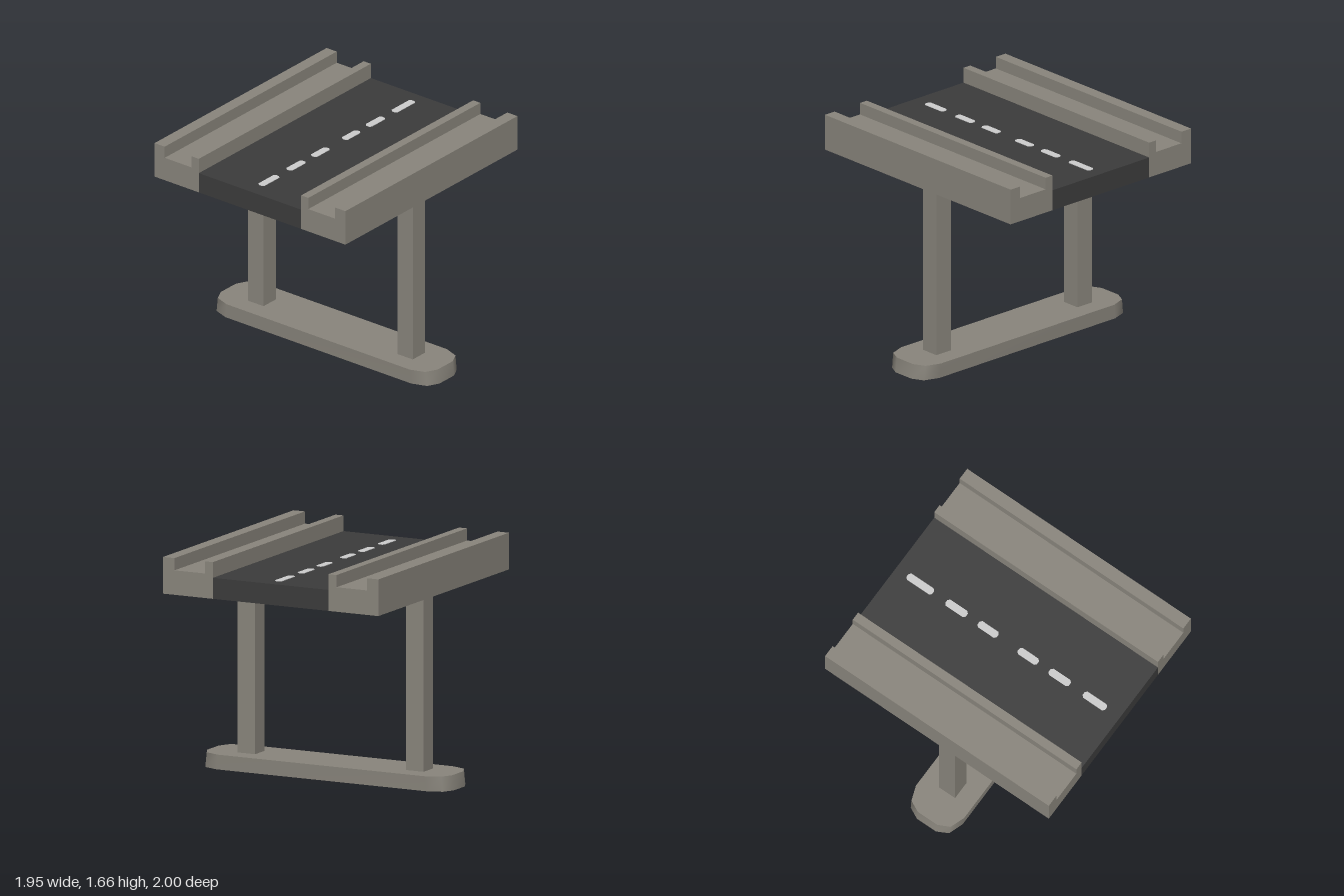
import * as THREE from 'three';

const concrete = new THREE.MeshStandardMaterial({ color: 0x88847b, side: THREE.DoubleSide });
concrete.name = 'concrete';
const asphalt = new THREE.MeshStandardMaterial({ color: 0x3b3b3b });
asphalt.name = 'asphalt';
const paint = new THREE.MeshStandardMaterial({ color: 0xcccccc });
paint.name = 'paleGrey';

const X0 = -0.974, X1 = 0.972, LENGTH = X1 - X0;
const BOTTOM = 1.4, ROAD_TOP = 1.552;

function polygon(points) {
  return new THREE.Shape(points.map(([x, y]) => new THREE.Vector2(x, y)));
}

export function createModel() {
  const model = new THREE.Group();
  const add = (name, geometry, material, x = 0, y = 0, z = 0) => {
    const mesh = new THREE.Mesh(geometry, material);
    mesh.name = name;
    mesh.position.set(x, y, z);
    model.add(mesh);
    return mesh;
  };

  // Road slab between the two walkways
  add('road', new THREE.BoxGeometry(LENGTH, ROAD_TOP - BOTTOM, 0.93), asphalt,
    (X0 + X1) / 2, (BOTTOM + ROAD_TOP) / 2, -0.005);

  // Walkways: a channel profile in z and y, swept along x
  for (const side of [1, -1]) {
    const z = (d) => side * d - 0.005;
    const profile = polygon([
      [z(0.465), BOTTOM], [z(0.867), BOTTOM], [z(0.867), 1.665], [z(0.775), 1.665],
      [z(0.775), 1.577], [z(0.53), 1.577], [z(0.53), 1.665], [z(0.465), 1.665],
    ]);
    const geometry = new THREE.ExtrudeGeometry(profile, { depth: LENGTH, bevelEnabled: false });
    geometry.rotateY(-Math.PI / 2);
    add(side > 0 ? 'frontWalkway' : 'backWalkway', geometry, concrete, X1);
  }

  // Pale underside facing down
  const under = new THREE.PlaneGeometry(LENGTH, 1.734).rotateX(Math.PI / 2);
  add('deckUnderside', under, paint, (X0 + X1) / 2, BOTTOM - 0.002, -0.005);

  // Lane dashes with clipped ends
  const dashes = [[-0.855, -0.66], [-0.54, -0.363], [-0.262, -0.093],
    [0.088, 0.255], [0.357, 0.535], [0.65, 0.873]];
  for (const [a, b] of dashes) {
    const h = 0.028, c = 0.015;
    const shape = polygon([[a + c, -h], [b - c, -h], [b, -h + c], [b, h - c],
      [b - c, h], [a + c, h], [a, h - c], [a, -h + c]]);
    const geometry = new THREE.ExtrudeGeometry(shape, { depth: 0.005, bevelEnabled: false });
    geometry.rotateX(-Math.PI / 2);
    add('laneDash', geometry, paint, 0, ROAD_TOP - 0.001, -0.006);
  }

  // Square posts reaching down into the hollow footing
  for (const side of [1, -1]) {
    add(side > 0 ? 'frontPost' : 'backPost',
      new THREE.BoxGeometry(0.14, BOTTOM - 0.025, 0.14), concrete,
      0, (BOTTOM + 0.025) / 2, side * 0.678);
  }

  // Footing outline: a long strip with faceted round ends
  const outline = (width, length) => {
    const end = [[1, 0.845], [0.81, 0.957], [0.4, 1], [-0.4, 1], [-0.81, 0.957], [-1, 0.845]];
    const ring = end.concat(end.map(([x, z]) => [-x, -z]));
    return ring.map(([x, z]) => [x * width, z * length]);
  };
  const low = outline(0.206, 1), high = outline(0.21, 0.986), TOP = 0.108;

  // Footing wall, smooth around and open below
  const positions = [], index = [], n = low.length;
  low.forEach(([x, z]) => positions.push(x, 0, z));
  high.forEach(([x, z]) => positions.push(x, TOP, z));
  for (let i = 0; i < n; i++) {
    const j = (i + 1) % n;
    index.push(i, n + i, j, j, n + i, n + j);
  }
  const wall = new THREE.BufferGeometry();
  wall.setAttribute('position', new THREE.Float32BufferAttribute(positions, 3));
  wall.setIndex(index);
  // Ring runs from +x towards +z, so reverse the corners to face outwards
  const p = new THREE.Vector3(), nrm = new THREE.Vector3();
  wall.computeVertexNormals();
  p.fromBufferAttribute(wall.attributes.position, 0);
  nrm.fromBufferAttribute(wall.attributes.normal, 0);
  if (p.dot(nrm) < 0) {
    wall.setIndex(index.slice().reverse());
    wall.computeVertexNormals();
  }
  add('footingWall', wall, concrete);

  // Footing top plate
  const plate = new THREE.ShapeGeometry(polygon(high.map(([x, z]) => [x, -z])));
  plate.rotateX(-Math.PI / 2);
  add('footingTop', plate, concrete, 0, TOP, 0);

  return model;
}
